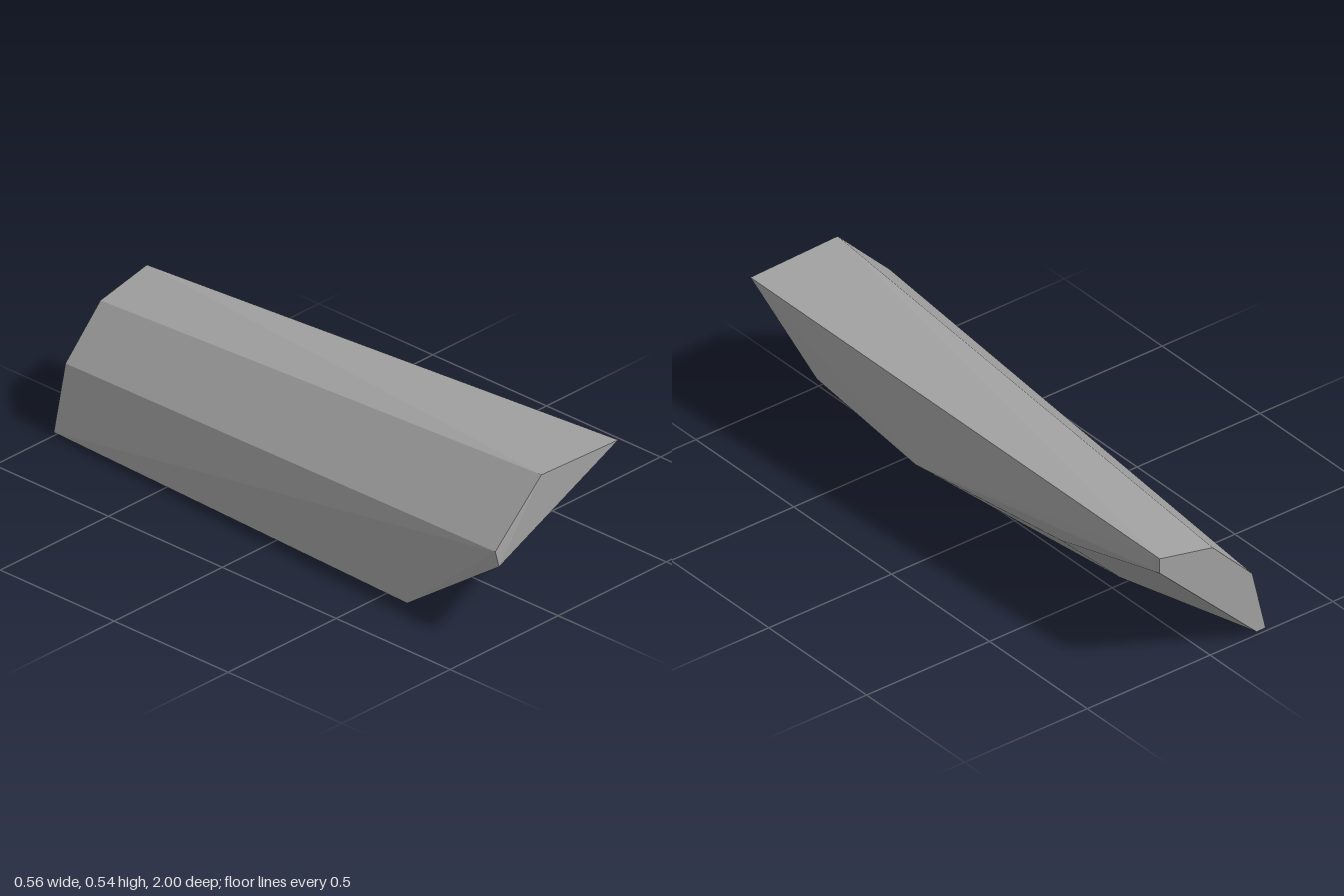
import * as THREE from 'three';
import { ConvexGeometry } from 'three/addons/geometries/ConvexGeometry.js';

export function createModel() {
  const model = new THREE.Group();
  model.name = 'rockShard';

  const stone = new THREE.MeshStandardMaterial({ color: 0xa0a0a0 });
  stone.name = 'stoneGrey';

  // Corners of the faceted block
  const corners = [
    // front end
    [0.278, 0.527, 1], [-0.077, 0.539, 1], [-0.28, 0.336, 0.99], [-0.273, 0.283, 1],
    // back end
    [0.205, 0.45, -1], [-0.01, 0.405, -1], [-0.172, 0.24, -1],
    [-0.226, 0.012, -1], [-0.19, 0.011, -1], [0.205, 0.395, -1],
    // chipped edge along the +x side
    [0.279, 0.315, 0.66], [0.275, 0.243, 0.16], [0.208, 0.265, -0.5],
    // underside
    [-0.277, 0.005, 0.6], [-0.205, 0.003, 0.59], [-0.05, 0, 0.17], [-0.055, 0.002, -0.47],
  ].map((p) => new THREE.Vector3(...p));

  // The hull of the corners gives the flat facets
  const rock = new THREE.Mesh(new ConvexGeometry(corners), stone);
  rock.name = 'rock';
  model.add(rock);
  return model;
}
